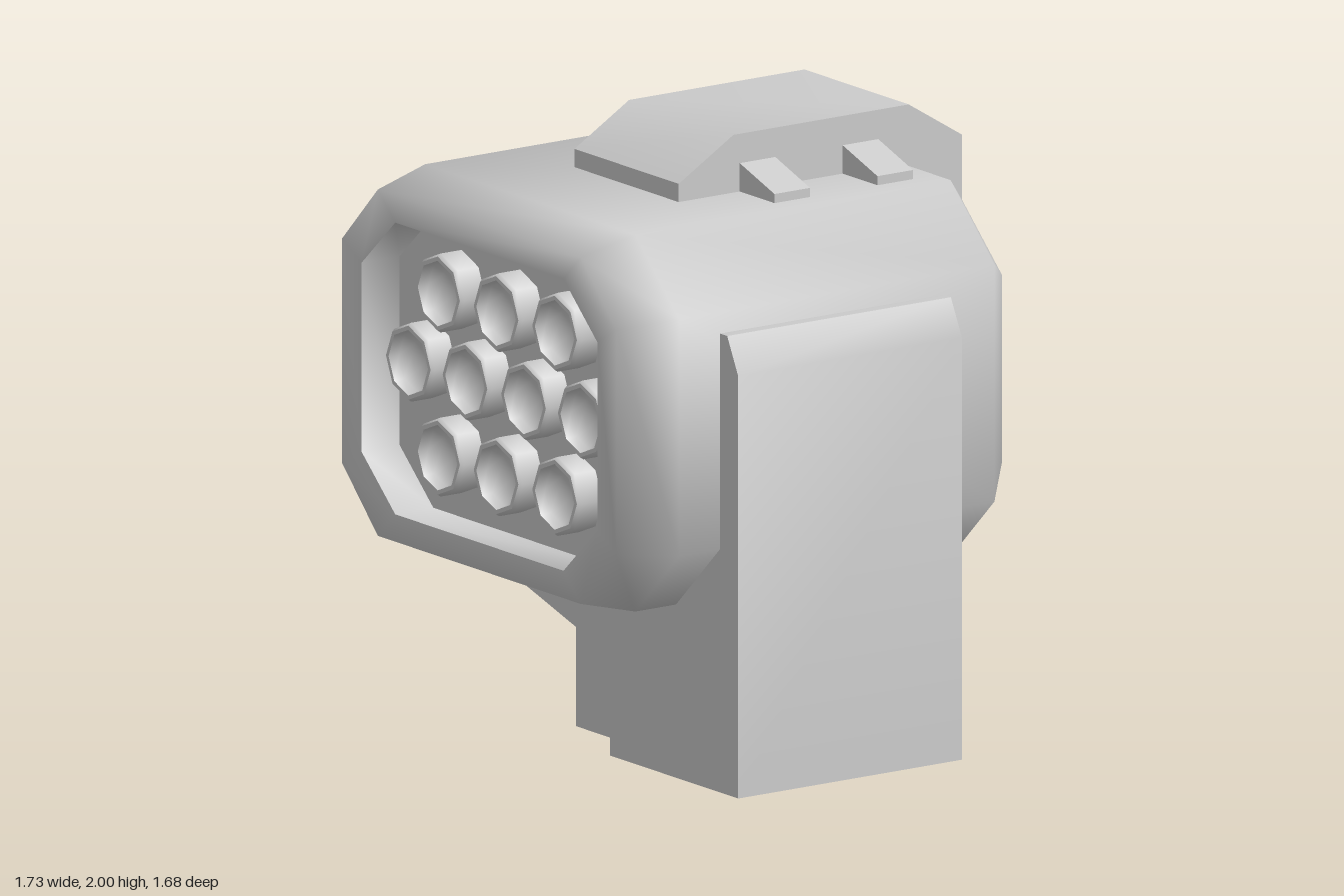
import * as THREE from 'three';
import { toCreasedNormals } from 'three/addons/utils/BufferGeometryUtils.js';

const material = new THREE.MeshStandardMaterial({ color: 0xcccccc });
const openMaterial = new THREE.MeshStandardMaterial({ color: 0xcccccc, side: THREE.DoubleSide });
const CX = -0.055, CY = 1.19;

function part(name, geometry, crease = 1.0, mat = material) {
  const mesh = new THREE.Mesh(toCreasedNormals(geometry, crease), mat);
  mesh.name = name;
  return mesh;
}

// Straight prism from a 2D outline
function prism(points, depth) {
  const shape = new THREE.Shape(points.map(([x, y]) => new THREE.Vector2(x, y)));
  return new THREE.ExtrudeGeometry(shape, { depth, bevelEnabled: false });
}

// Octagonal loft; each section is [z, halfWidth, halfHeight, flatHalfWidth, flatHalfHeight]
function octagonLoft(sections) {
  const pos = [], index = [];
  for (const [z, w, h, fw, fh] of sections) {
    const ring = [[w, -fh], [w, fh], [fw, h], [-fw, h], [-w, fh], [-w, -fh], [-fw, -h], [fw, -h]];
    for (const [x, y] of ring) pos.push(CX + x, CY + y, z);
  }
  for (let i = 0; i < sections.length - 1; i++) {
    for (let j = 0; j < 8; j++) {
      const a = i * 8 + j, b = i * 8 + (j + 1) % 8;
      index.push(a, b, b + 8, a, b + 8, a + 8);
    }
  }
  const last = (sections.length - 1) * 8;
  for (let j = 1; j < 7; j++) {
    index.push(0, j + 1, j);
    index.push(last, last + j, last + j + 1);
  }
  const g = new THREE.BufferGeometry();
  g.setAttribute('position', new THREE.Float32BufferAttribute(pos, 3));
  g.setIndex(index);
  return g;
}

// Remove the floor so a prism becomes a hollow sleeve
function removeFloor(geometry) {
  const src = geometry.index ? geometry.toNonIndexed() : geometry;
  const p = src.attributes.position, kept = [];
  for (let i = 0; i < p.count; i += 3) {
    if ([0, 1, 2].every(k => p.getY(i + k) < 0.001)) continue;
    for (let k = 0; k < 3; k++) kept.push(p.getX(i + k), p.getY(i + k), p.getZ(i + k));
  }
  const g = new THREE.BufferGeometry();
  g.setAttribute('position', new THREE.Float32BufferAttribute(kept, 3));
  return g;
}

export function createModel() {
  const model = new THREE.Group();

  // Housing with rounded ends and a recessed front panel
  model.add(part('housing', octagonLoft([
    [-0.73, 0.675, 0.51, 0.46, 0.31],
    [-0.60, 0.815, 0.62, 0.575, 0.39],
    [0.64, 0.815, 0.62, 0.575, 0.39],
    [0.84, 0.75, 0.57, 0.555, 0.37],
    [0.84, 0.645, 0.48, 0.46, 0.31],
    [0.69, 0.645, 0.48, 0.46, 0.31],
  ]), 1.35));

  // Ten octagonal barrels with hollow bowls
  const profile = [[0.13, -0.1], [0.13, -0.012], [0.122, 0], [0.108, 0], [0.1, -0.035], [0.07, -0.065], [0, -0.08]]
    .map(([r, y]) => new THREE.Vector2(r, y));
  const barrelGeometry = new THREE.LatheGeometry(profile, 8).rotateX(Math.PI / 2);
  const barrels = new THREE.Group();
  barrels.name = 'barrels';
  const rows = [[1.46, [-0.36, -0.04, 0.28]], [1.2, [-0.52, -0.21, 0.11, 0.42]], [0.92, [-0.36, -0.04, 0.28]]];
  for (const [y, xs] of rows) {
    for (const x of xs) {
      const barrel = part('barrel', barrelGeometry);
      barrel.position.set(x, y, 0.785);
      barrels.add(barrel);
    }
  }
  model.add(barrels);

  // Band wrapping over the top and down the back, outlined in z and y
  const bandOutline = [[0.275, 1.78], [0.275, 1.87], [0.06, 2], [-0.63, 2], [-0.84, 1.87],
    [-0.84, 0.66], [-0.67, 0.52], [-0.4, 0.52], [-0.4, 1.78]];
  const band = prism(bandOutline.map(([z, y]) => [-z, y]).reverse(), 0.57).rotateY(Math.PI / 2);
  band.translate(-0.32, 0, 0);
  model.add(part('backBand', band));

  // Tapered lugs sticking out on both sides of the band
  const lugOutline = [[-0.52, 1.79], [0.44, 1.79], [0.44, 1.84], [0.245, 1.905], [-0.32, 1.905], [-0.52, 1.84]];
  for (const z of [-0.51, -0.105]) {
    model.add(part('lug', prism(lugOutline, 0.14).translate(0, 0, z), 0.3));
  }

  // Hollow side arm, open at the bottom
  const armOutline = [[0.16, 0], [0.86, 0], [0.86, 1.39], [0.8, 1.51], [0.5, 1.51],
    [-0.41, 0.65], [-0.41, 0.5], [0.16, 0.33]];
  const arm = removeFloor(prism(armOutline, 0.88).translate(0, 0, -0.4));
  model.add(part('sideArm', arm, 0.9, openMaterial));

  // Small tab beside the arm
  const tab = new THREE.BoxGeometry(0.22, 0.5, 0.17).translate(0.07, 0.305, 0.385);
  model.add(part('tab', tab, 0.5));

  return model;
}
